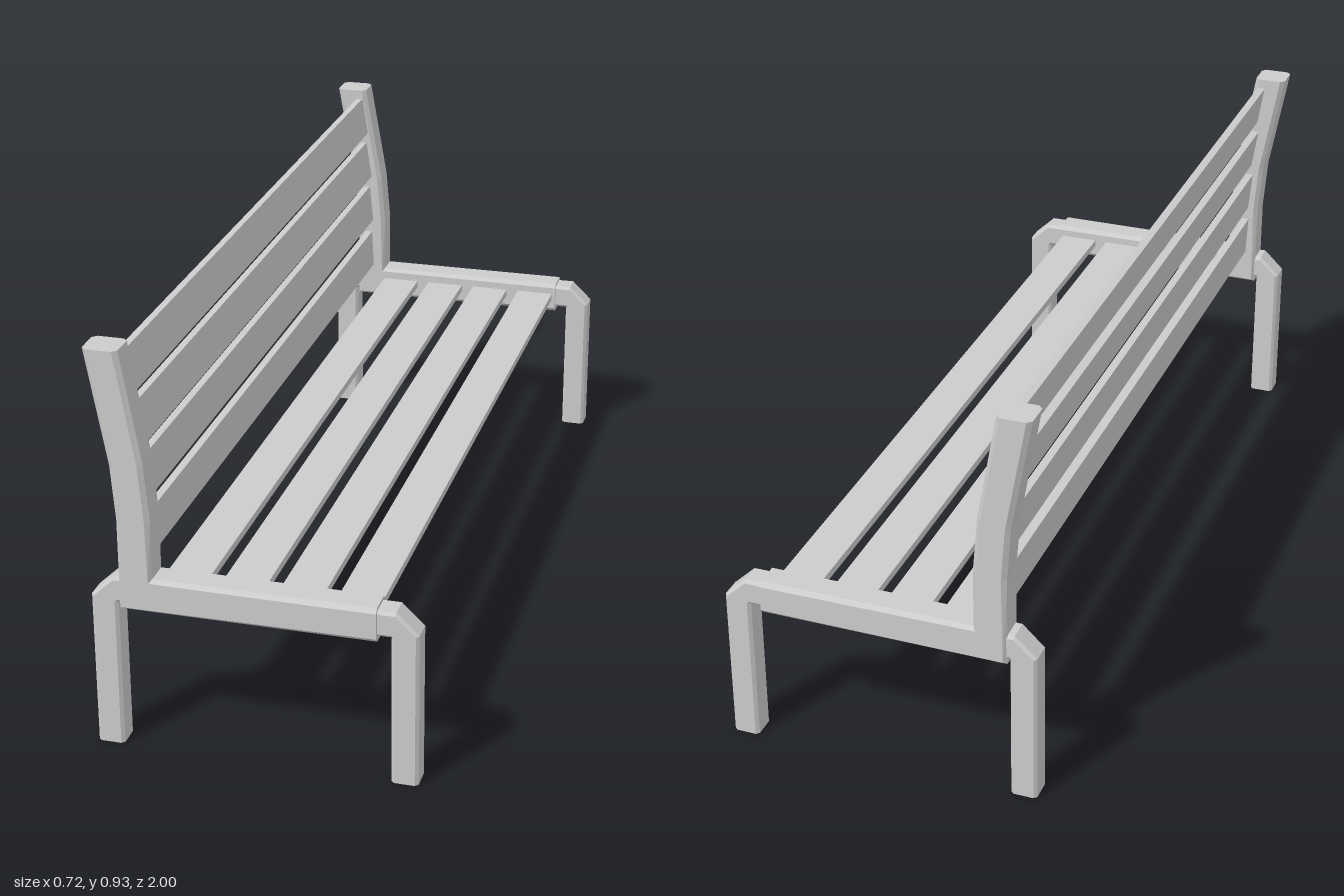
import * as THREE from 'three';

const material = new THREE.MeshStandardMaterial({ color: 0xcccccc, flatShading: true, side: THREE.DoubleSide });

// Chamfered rectangular bar. Each section is [outerX, outerY, innerX, innerY]; depth runs along z.
function bar(name, sections, depth, chamfer) {
  const h = depth / 2;
  const pos = [], index = [];
  for (const [ox, oy, ix, iy] of sections) {
    const t = chamfer / Math.hypot(ix - ox, iy - oy);
    const ring = [[t, h], [0, h - chamfer], [0, chamfer - h], [t, -h], [1 - t, -h], [1, chamfer - h], [1, h - chamfer], [1 - t, h]];
    for (const [u, z] of ring) pos.push(ox + (ix - ox) * u, oy + (iy - oy) * u, z);
  }
  const last = (sections.length - 1) * 8;
  for (let s = 0; s < last; s += 8) {
    for (let i = 0; i < 8; i++) {
      const a = s + i, b = s + (i + 1) % 8;
      index.push(a, b, a + 8, b, b + 8, a + 8);
    }
  }
  // end caps
  for (let i = 1; i < 7; i++) {
    index.push(0, i + 1, i, last, last + i, last + i + 1);
  }
  const g = new THREE.BufferGeometry();
  g.setAttribute('position', new THREE.Float32BufferAttribute(pos, 3));
  g.setIndex(index);
  const flat = g.toNonIndexed();
  flat.computeVertexNormals();
  const mesh = new THREE.Mesh(flat, material);
  mesh.name = name;
  return mesh;
}

function slat(name, w, h, x, y, lean = 0) {
  const mesh = new THREE.Mesh(new THREE.BoxGeometry(w, h, 1.87), material);
  mesh.name = name;
  mesh.position.set(x, y, 0);
  mesh.rotation.z = lean;
  return mesh;
}

export function createModel() {
  const bench = new THREE.Group();
  bench.name = 'bench';

  // Inverted U of two legs joined by a crossbar, with cut outer corners
  const legPath = [
    [-0.36, 0, -0.3, 0], [-0.36, 0.36, -0.3, 0.348], [-0.31, 0.408, -0.3, 0.348],
    [0.31, 0.408, 0.3, 0.348], [0.36, 0.36, 0.3, 0.348], [0.36, 0, 0.3, 0],
  ];
  // Seat rail turning up into a back post that leans backwards
  const framePath = [
    [0.27, 0.336, 0.27, 0.415], [-0.295, 0.336, -0.22, 0.415], [-0.295, 0.545, -0.22, 0.55],
    [-0.305, 0.67, -0.231, 0.68], [-0.352, 0.93, -0.275, 0.93],
  ];
  for (const side of [1, -1]) {
    const end = new THREE.Group();
    end.name = side > 0 ? 'leftEndFrame' : 'rightEndFrame';
    end.add(bar('legs', legPath, 0.06, 0.007), bar('railAndBackPost', framePath, 0.075, 0.01));
    end.position.z = side * 0.9625;
    bench.add(end);
  }

  // Seat slats
  for (let i = 0; i < 4; i++) bench.add(slat('seatSlat', 0.096, 0.018, -0.171 + i * 0.128, 0.379));

  // Back slats, leaning more towards the top
  const backs = [[-0.262, 0.475, 0.05], [-0.266, 0.607, 0.09], [-0.273, 0.733, 0.15], [-0.284, 0.858, 0.16]];
  for (const [x, y, lean] of backs) bench.add(slat('backSlat', 0.018, 0.098, x, y, lean));

  return bench;
}
